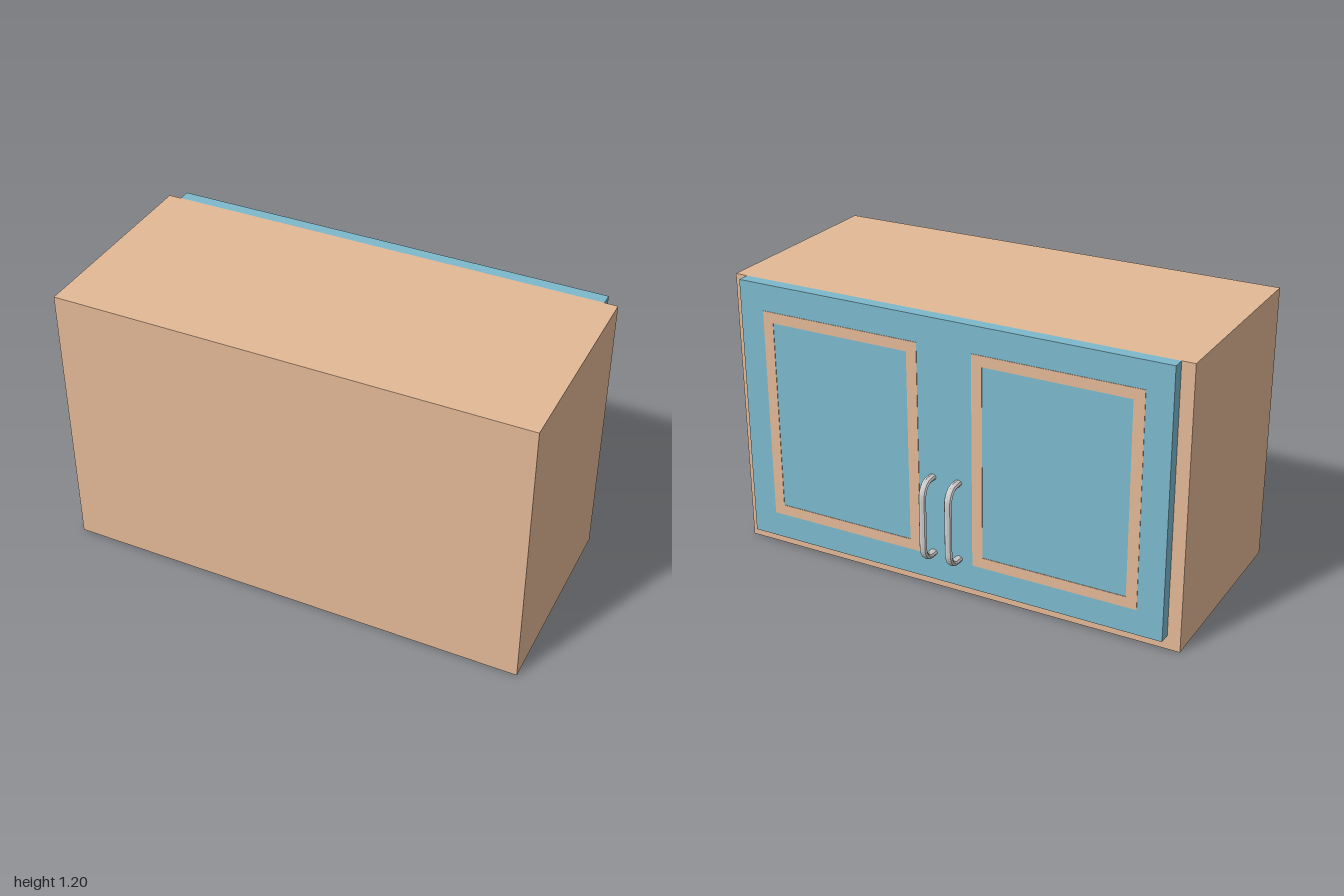
import * as THREE from 'three';

const wood = new THREE.MeshStandardMaterial({ color: 0xe2b896 });
const blue = new THREE.MeshStandardMaterial({ color: 0x7cb8cc });
const grey = new THREE.MeshStandardMaterial({ color: 0xcccccc, flatShading: true });

const BACK = -0.37;   // rear face of the cabinet body
const DOOR = -0.422;  // outer face of the doors

function add(parent, name, geometry, material, x = 0, y = 0, z = 0) {
  const mesh = new THREE.Mesh(geometry, material);
  mesh.name = name;
  mesh.position.set(x, y, z);
  parent.add(mesh);
  return mesh;
}

// Thin rectangular ring, centred on its own origin
function ringGeometry(w, h, band, depth) {
  const rect = (Type, a, b) => new Type([
    new THREE.Vector2(-a, -b), new THREE.Vector2(a, -b),
    new THREE.Vector2(a, b), new THREE.Vector2(-a, b)]);
  const shape = rect(THREE.Shape, w / 2, h / 2);
  shape.holes.push(rect(THREE.Path, w / 2 - band, h / 2 - band));
  return new THREE.ExtrudeGeometry(shape, { depth, bevelEnabled: false });
}

// Bow handle: straight stubs, rounded corners and a vertical grip
function handleGeometry() {
  const h = 0.17, d = -0.1025, r = 0.0625;
  const v = (y, z) => new THREE.Vector3(0, y, z);
  const path = new THREE.CurvePath();
  path.add(new THREE.LineCurve3(v(h, 0), v(h, d + r)));
  const corner = (s, flip) => {
    const pts = [];
    for (let i = 0; i <= 6; i++) {
      const a = (flip ? 6 - i : i) / 6 * Math.PI / 2;
      pts.push(v(s * (h - r + r * Math.cos(a)), d + r - r * Math.sin(a)));
    }
    return new THREE.CatmullRomCurve3(pts);
  };
  path.add(corner(1, false));
  path.add(new THREE.LineCurve3(v(h - r, d), v(r - h, d)));
  path.add(corner(-1, true));
  path.add(new THREE.LineCurve3(v(-h, d + r), v(-h, 0)));
  return new THREE.TubeGeometry(path, 48, 0.013, 8);
}

export function createModel() {
  const model = new THREE.Group();
  model.name = 'wallCabinet';

  // Cabinet body
  add(model, 'body', new THREE.BoxGeometry(2, 1.2, 0.885), wood, 0, 0.6, BACK + 0.4425);

  // Door panel
  add(model, 'doorPanel', new THREE.BoxGeometry(1.89, 1.14, BACK - DOOR), blue,
    0, 0.63, (BACK + DOOR) / 2);

  // Inlaid trim and a handle on each door half
  const trim = ringGeometry(0.715, 0.915, 0.046, 0.004);
  const handle = handleGeometry();
  for (const [side, s] of [['left', 1], ['right', -1]]) {
    add(model, side + 'DoorTrim', trim, wood, s * 0.478, 0.628, DOOR - 0.002);
    add(model, side + 'Handle', handle, grey, s * 0.058, 0.355, DOOR).scale.set(1.3, 1, 0.8);
  }
  return model;
}
